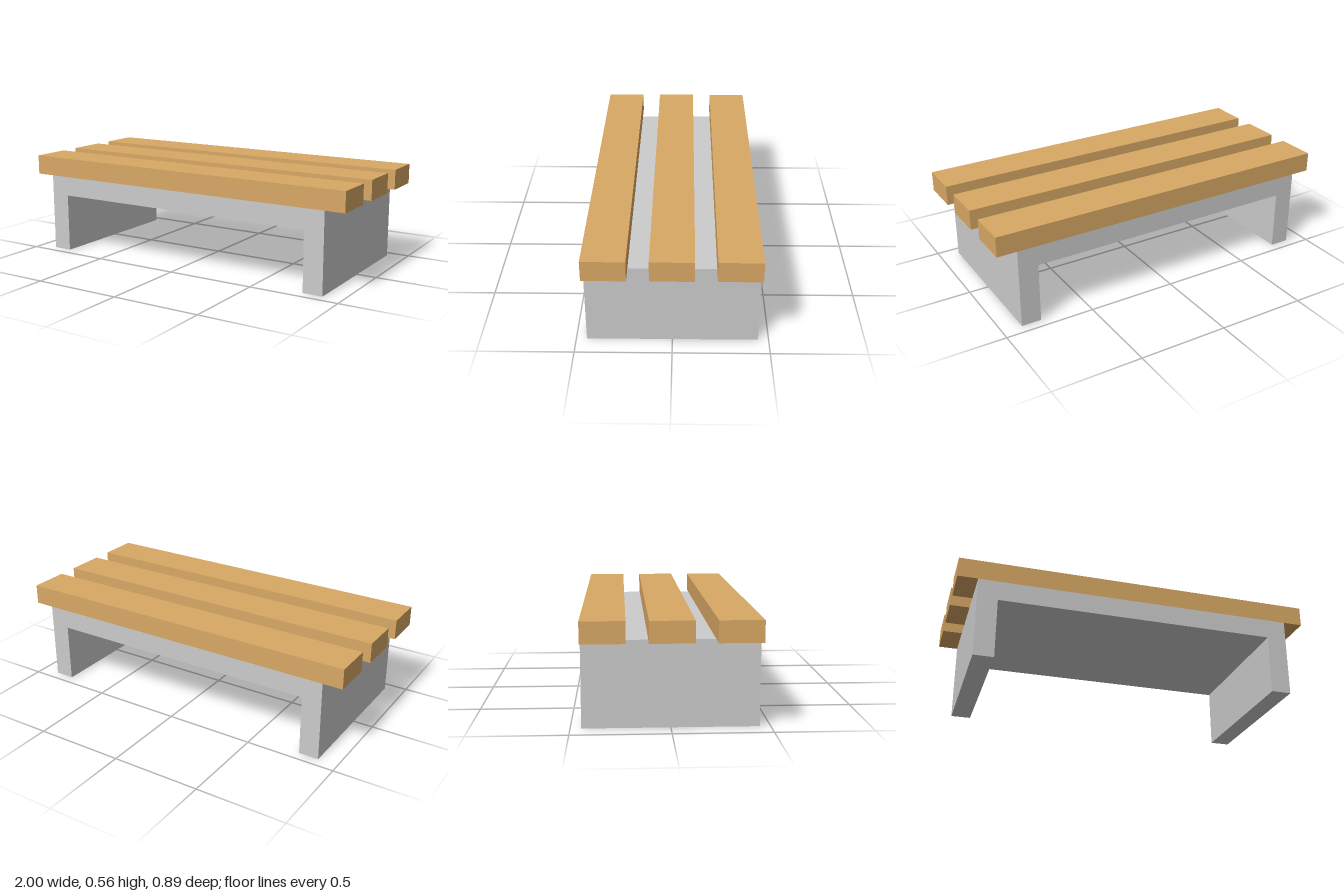
import * as THREE from 'three';

const DEPTH = 0.89;        // front to back
const FRAME_HALF = 0.89;   // half width of the base
const FRAME_TOP = 0.445;
const THICKNESS = 0.111;   // legs, deck and slats share one thickness

export function createModel() {
  const bench = new THREE.Group();
  bench.name = 'bench';

  const stone = new THREE.MeshStandardMaterial({ color: 0xcccccc });
  const wood = new THREE.MeshStandardMaterial({ color: 0xd8a864 });

  // Base: one upside-down U running the full depth
  const inner = FRAME_HALF - THICKNESS;
  const underside = FRAME_TOP - THICKNESS;
  const profile = new THREE.Shape([
    [-FRAME_HALF, 0], [-inner, 0], [-inner, underside], [inner, underside],
    [inner, 0], [FRAME_HALF, 0], [FRAME_HALF, FRAME_TOP], [-FRAME_HALF, FRAME_TOP],
  ].map(([x, y]) => new THREE.Vector2(x, y)));
  const baseGeometry = new THREE.ExtrudeGeometry(profile, { depth: DEPTH, bevelEnabled: false });
  baseGeometry.translate(0, 0, -DEPTH / 2);
  const base = new THREE.Mesh(baseGeometry, stone);
  base.name = 'base';
  bench.add(base);

  // Seat: three evenly spaced planks overhanging the base at both ends
  const plankDepth = DEPTH / 4;
  const plankGeometry = new THREE.BoxGeometry(2, THICKNESS, plankDepth);
  ['backPlank', 'middlePlank', 'frontPlank'].forEach((name, i) => {
    const plank = new THREE.Mesh(plankGeometry, wood);
    plank.name = name;
    plank.position.set(0, FRAME_TOP + THICKNESS / 2, (i - 1) * (DEPTH - plankDepth) / 2);
    bench.add(plank);
  });

  return bench;
}
